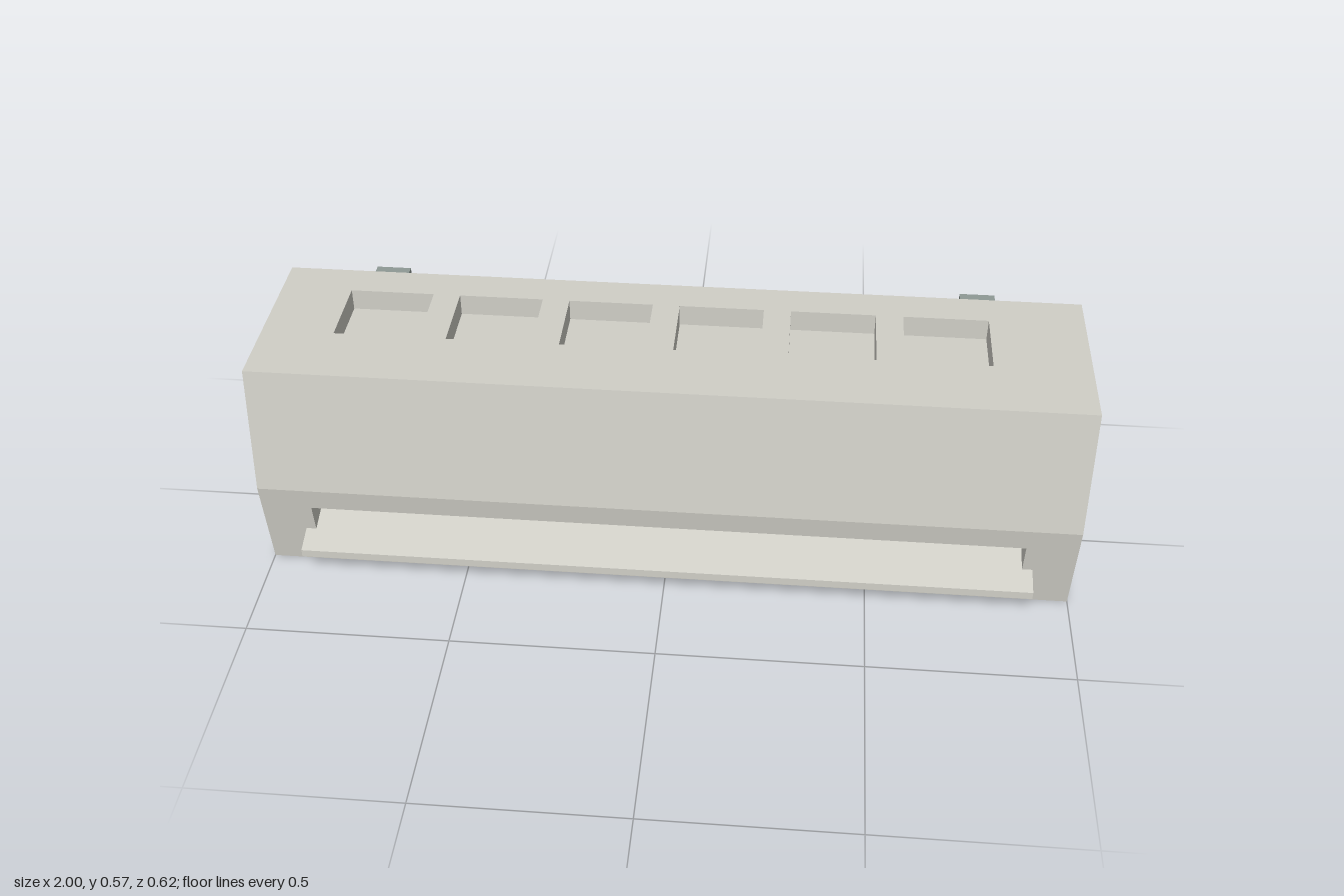
import * as THREE from 'three';

const bodyMat = new THREE.MeshStandardMaterial({ color: 0xd0cfc7, flatShading: true });
const pocketMat = new THREE.MeshStandardMaterial({ color: 0xd0cfc7, flatShading: true, side: THREE.DoubleSide });
const darkMat = new THREE.MeshStandardMaterial({ color: 0x8f9995, flatShading: true });
const slotMat = new THREE.MeshStandardMaterial({ color: 0x76827d, flatShading: true });

function add(parent, name, geometry, material) {
  const mesh = new THREE.Mesh(geometry, material);
  mesh.name = name;
  parent.add(mesh);
  return mesh;
}

// Box given by its minimum and maximum corners
function box(parent, name, material, [x0, y0, z0], [x1, y1, z1]) {
  const g = new THREE.BoxGeometry(x1 - x0, y1 - y0, z1 - z0);
  g.translate((x0 + x1) / 2, (y0 + y1) / 2, (z0 + z1) / 2);
  return add(parent, name, g, material);
}

function rectangle(PathType, x, y, w, h) {
  return new PathType([[0, 0], [w, 0], [w, h], [0, h]].map(([a, b]) => new THREE.Vector2(x + a, y + b)));
}

// Flat casing wall across the full width, from profile point a to b, with sunken pockets
function wall(parent, name, [az, ay], [bz, by], pockets = []) {
  const group = new THREE.Group();
  group.name = name;
  const u = new THREE.Vector3(1, 0, 0);
  const v = new THREE.Vector3(0, by - ay, bz - az);
  const length = v.length();
  v.normalize();
  group.applyMatrix4(new THREE.Matrix4().makeBasis(u, v, u.clone().cross(v)).setPosition(0, ay, az));

  const shape = rectangle(THREE.Shape, -1, 0, 2, length);
  for (const { x, y, w, h, depth } of pockets) {
    shape.holes.push(rectangle(THREE.Path, x, y, w, h));
    // Box with its outer face left out
    const g = new THREE.BoxGeometry(w, h, depth).translate(x + w / 2, y + h / 2, -depth / 2);
    const index = Array.from(g.index.array);
    index.splice(24, 6);
    g.setIndex(index);
    g.clearGroups();
    add(group, 'recess', g, pocketMat);
  }
  add(group, name + 'Panel', new THREE.ShapeGeometry(shape), bodyMat);
  parent.add(group);
  return group;
}

export function createModel() {
  const model = new THREE.Group();
  model.name = 'wallUnit';

  // Casing profile as (z, y)
  const profile = [[-0.232, 0], [0.233, 0], [0.268, 0.25], [0.223, 0.573], [-0.232, 0.573]];
  const [backBottom, frontBottom, nose, frontTop, backTop] = profile;

  const casing = new THREE.Group();
  casing.name = 'casing';
  model.add(casing);

  // End caps
  for (const side of [-1, 1]) {
    const shape = new THREE.Shape(profile.map(([z, y]) => new THREE.Vector2(-side * z, y)));
    const g = new THREE.ShapeGeometry(shape).rotateY(side * Math.PI / 2).translate(side, 0, 0);
    add(casing, side > 0 ? 'leftEnd' : 'rightEnd', g, bodyMat);
  }

  // Casing walls: long outlet slot in front, six square intake recesses on top
  const intakes = [];
  for (let i = 0; i < 6; i++) {
    intakes.push({ x: -0.823 + i * 0.276, y: 0.173, w: 0.209, h: 0.19, depth: 0.055 });
  }
  const slot = { x: -0.875, y: 0.1, w: 1.75, h: 0.092, depth: 0.075 };
  wall(casing, 'bottomWall', backBottom, frontBottom);
  const lowerFront = wall(casing, 'lowerFrontWall', frontBottom, nose, [slot]);
  wall(casing, 'upperFrontWall', nose, frontTop);
  wall(casing, 'topWall', frontTop, backTop, intakes);
  wall(casing, 'backWall', backTop, backBottom);

  // Dark panel at the back of the outlet slot
  box(lowerFront, 'outletBack', slotMat,
    [slot.x, slot.y, -slot.depth], [slot.x + slot.w, slot.y + slot.h, -slot.depth + 0.005]);

  // Sloping air flap
  const flapShape = new THREE.Shape(
    [[0.31, 0.073], [0.31, 0.093], [0.18, 0.135], [0.18, 0.115]].map(([z, y]) => new THREE.Vector2(z, y)));
  const flap = new THREE.ExtrudeGeometry(flapShape, { depth: 1.8, bevelEnabled: false });
  add(model, 'airFlap', flap.rotateY(-Math.PI / 2).translate(0.9, 0, 0), bodyMat);

  // Mounting plate with two hooks
  box(model, 'mountingPlate', darkMat, [-0.858, 0.063, -0.262], [0.858, 0.51, -0.231]);
  for (const x of [-0.755, 0.75]) {
    box(model, 'mountingHook', darkMat, [x - 0.044, 0.358, -0.31], [x + 0.044, 0.537, -0.252]);
  }

  return model;
}
